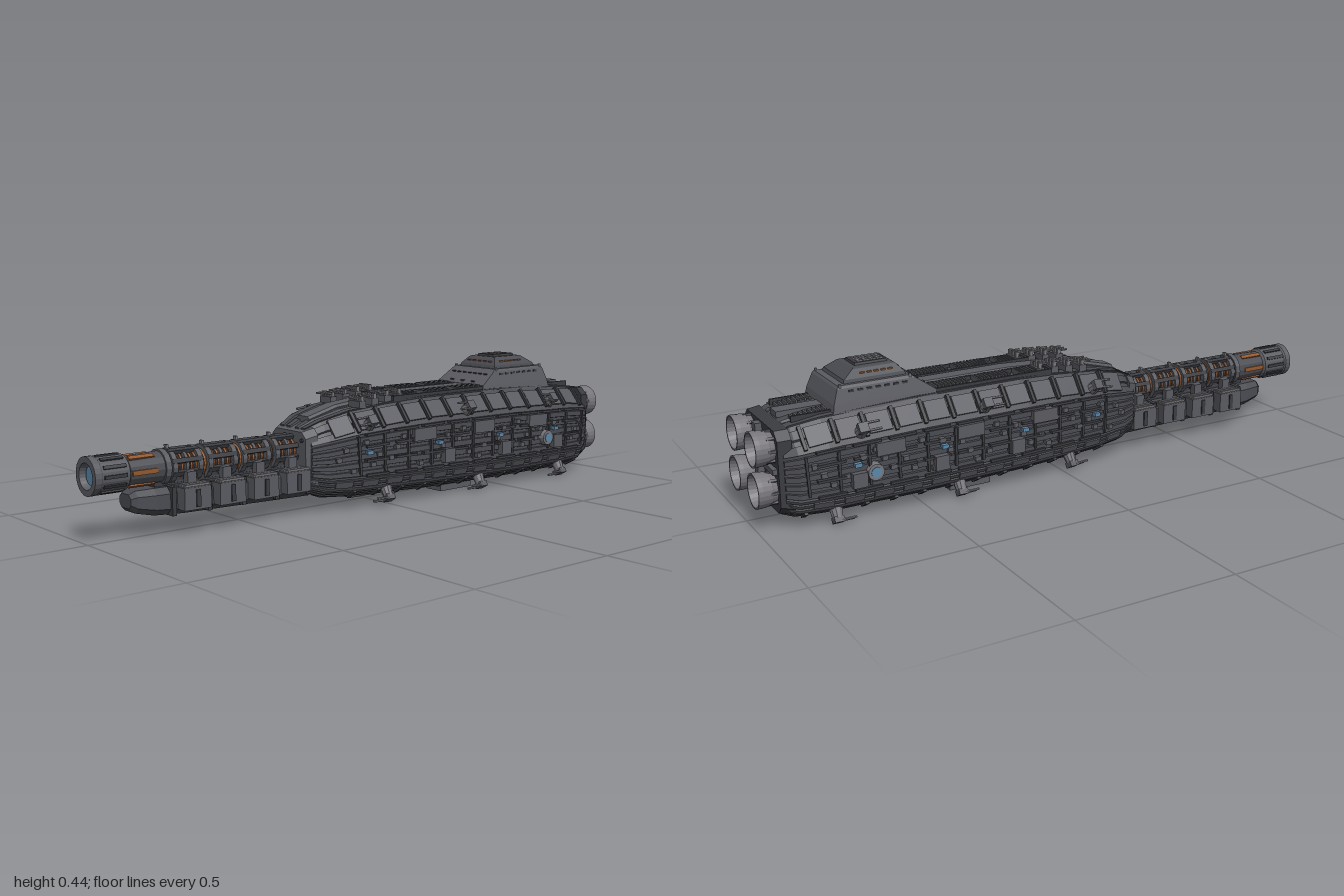
import * as THREE from 'three';
import { mergeGeometries } from 'three/addons/utils/BufferGeometryUtils.js';

const material = (color) => new THREE.MeshStandardMaterial({ color, flatShading: true, roughness: 0.8, side: THREE.DoubleSide });
const DARK = material(0x3b3c41), HULL = material(0x4b4c52), PLATE = material(0x5a5b61),
  STEEL = material(0x77757a), RUST = material(0x94592f), BLUE = material(0x5b87a8);

// Hull stations: z, half width, bottom, top
const STATIONS = [[0.29, 0.1, 0.06, 0.26], [0.24, 0.125, 0.042, 0.282], [0.14, 0.15, 0.034, 0.306], [0, 0.167, 0.03, 0.32],
  [-0.15, 0.178, 0.025, 0.328], [-0.5, 0.184, 0.02, 0.328], [-0.8, 0.182, 0.02, 0.316], [-0.89, 0.172, 0.024, 0.303], [-0.925, 0.15, 0.035, 0.288]];
// Half cross-section, from bottom centre to top centre
const PROFILE = [[0, 0], [0.6, 0], [0.86, 0.09], [1, 0.26], [1, 0.74], [0.64, 1], [0, 1]];
const BANDS = [3, 3, 3, 5, 2, 2];

function station(z) {
  let i = 0;
  while (i < STATIONS.length - 2 && z < STATIONS[i + 1][0]) i++;
  const a = STATIONS[i], b = STATIONS[i + 1], t = (z - a[0]) / (b[0] - a[0]);
  return a.map((v, k) => v + (b[k] - v) * t);
}
// Point on the hull skin at length z and profile position s (0 to 6)
function skin(z, s, raise = 0) {
  const [, w, lo, hi] = station(z), i = Math.min(5, Math.floor(s)), t = s - i;
  const at = (k) => [PROFILE[k][0] * w, lo + PROFILE[k][1] * (hi - lo)];
  const a = at(i), b = at(i + 1), dx = b[0] - a[0], dy = b[1] - a[1], l = Math.hypot(dx, dy);
  return new THREE.Vector3(a[0] + dx * t + dy / l * raise, a[1] + dy * t - dx / l * raise, z);
}

// Closed skin through rings that run counter-clockwise, front to back
function loft(rings) {
  const n = rings[0].length, pos = [], put = (...v) => v.forEach((p) => pos.push(p.x, p.y, p.z));
  for (let i = 0; i < rings.length - 1; i++) for (let j = 0; j < n; j++) {
    const k = (j + 1) % n, [a, b, c, d] = [rings[i][j], rings[i][k], rings[i + 1][j], rings[i + 1][k]];
    put(a, c, b, b, c, d);
  }
  [rings[0], rings[rings.length - 1]].forEach((r, e) => {
    const mid = r.reduce((m, p) => m.add(p), new THREE.Vector3()).divideScalar(n);
    r.forEach((p, j) => (e ? put(mid, r[(j + 1) % n], p) : put(mid, p, r[(j + 1) % n])));
  });
  const g = new THREE.BufferGeometry();
  g.setAttribute('position', new THREE.Float32BufferAttribute(pos, 3));
  g.computeVertexNormals();
  return g;
}
// Chamfered rectangle ring
function chamfer(z, w, lo, hi, c) {
  return [[w - c, lo], [w, lo + c], [w, hi - c], [w - c, hi], [c - w, hi], [-w, hi - c], [-w, lo + c], [c - w, lo]].map(([x, y]) => new THREE.Vector3(x, y, z));
}

export function createModel() {
  const root = new THREE.Group(), parts = new Map();
  const add = (name, mat, g) => {
    if (!parts.has(name)) parts.set(name, { mat, list: [] });
    parts.get(name).list.push(g.index ? g.toNonIndexed() : g);
  };
  const box = (name, mat, x, y, z, w, h, d) => add(name, mat, new THREE.BoxGeometry(w, h, d).translate(x, y, z));
  const pair = (name, mat, x, ...rest) => [-1, 1].forEach((s) => box(name, mat, s * x, ...rest));
  const tube = (name, mat, x, y, z, front, back, len, n = 16) => add(name, mat, new THREE.CylinderGeometry(front, back, len, n).rotateX(Math.PI / 2).translate(x, y, z));
  // Sets a copy of a geometry on both flanks: local x outward, z along the hull
  const onHull = (name, mat, z, s, make) => [-1, 1].forEach((side) => {
    const p = skin(z, s), along = skin(z + 0.01, s).sub(skin(z - 0.01, s)).normalize();
    const across = skin(z, Math.min(5.999, Math.floor(s) + 0.99)).sub(skin(z, Math.floor(s))).normalize();
    const out = across.cross(along).normalize();
    [p, along, out].forEach((v) => { v.x *= side; });
    const m = new THREE.Matrix4().makeBasis(out, along.clone().cross(out), along).setPosition(p);
    add(name, mat, make().applyMatrix4(m));
  });
  const plate = (name, mat, z, s, thick, wide, long) => onHull(name, mat, z, s, () => new THREE.BoxGeometry(thick, wide, long));

  // Hull with raised lengthwise strakes
  add('hull', HULL, loft(STATIONS.map(([z]) => {
    const half = [];
    BANDS.forEach((n, seg) => {
      for (let b = 0; b < n; b++) [[0.04, 0], [0.62, 0], [0.66, -0.007], [0.97, -0.007]].forEach(([t, r]) => half.push(skin(z, seg + (b + t) / n, r)));
    });
    return half.concat(half.slice().reverse().map((p) => new THREE.Vector3(-p.x, p.y, p.z)));
  })));
  // Armour plates, frames and small fittings along the flanks
  for (let i = 0; i < 12; i++) {
    const z = 0.19 - i * 0.092;
    plate('shoulderPlate', PLATE, z, 4.5, 0.012, 0.062, 0.07);
    plate('shoulderFrame', DARK, z - 0.046, 4.5, 0.02, 0.075, 0.01);
    plate('bellyPlate', i % 2 ? DARK : PLATE, z, 0.45, 0.01, 0.045, 0.075);
    plate('bilgeFrame', DARK, z - 0.046, 1.5, 0.012, 0.045, 0.012);
    plate('bilgePlate', PLATE, z, 2.5, 0.01, 0.022, 0.06);
    plate('flankFrame', DARK, z - 0.046, 3.5, 0.012, 0.12, 0.008);
    for (let k = 0; k < 3; k++) plate('flankFitting', k === 1 ? STEEL : PLATE, z + 0.025 * (k - 1), 3.15 + ((i * 3 + k * 5) % 7) * 0.11, 0.014 + 0.004 * k, 0.014, 0.018);
    if (i % 3 === 1) plate('window', BLUE, z + 0.01, 3.55, 0.016, 0.012, 0.022);
  }
  for (const s of [3.02, 3.36, 3.7, 3.98]) for (let i = 0; i < 9; i++) plate('flankRail', DARK, 0.08 - i * 0.11, s, 0.016, 0.008, 0.085);
  for (const z of [-0.1, -0.36, -0.62]) {
    plate('sidePod', PLATE, z, 3.8, 0.026, 0.04, 0.09);
    plate('sidePod', PLATE, z - 0.1, 3.25, 0.036, 0.045, 0.045);
  }
  onHull('roundPort', STEEL, -0.67, 3.35, () => new THREE.CylinderGeometry(0.025, 0.028, 0.03, 16).rotateZ(-Math.PI / 2));
  onHull('portGlass', BLUE, -0.67, 3.35, () => new THREE.CylinderGeometry(0.016, 0.016, 0.034, 16).rotateZ(-Math.PI / 2));
  pair('bellySkid', PLATE, 0.066, 0.012, -0.32, 0.068, 0.024, 0.14);
  box('bellyKeel', DARK, 0, 0.018, -0.35, 0.036, 0.02, 0.85);

  // Twin-barrel turrets on the upper and lower shoulders
  for (const [s, zs] of [[4.3, [0.1, -0.3, -0.7]], [1.75, [0.02, -0.38, -0.78]]]) for (const z of zs) {
    onHull('turretBase', STEEL, z, s, () => new THREE.CylinderGeometry(0.016, 0.02, 0.03, 10).rotateZ(-Math.PI / 2).translate(0.012, 0, 0));
    onHull('turretHead', PLATE, z, s, () => new THREE.BoxGeometry(0.018, 0.03, 0.03).translate(0.032, 0, 0));
    for (const y of [-0.012, 0.012]) onHull('turretBarrel', STEEL, z, s, () => new THREE.CylinderGeometry(0.004, 0.004, 0.045, 6).rotateX(Math.PI / 2).translate(0.035, y, 0.03));
  }

  // Bow collar around the cannon root
  add('bowCollar', PLATE, loft([chamfer(0.305, 0.085, 0.08, 0.25, 0.02), chamfer(0.27, 0.102, 0.065, 0.262, 0.02)]));
  [-1, 1].forEach((s) => [0.1, 0.225].forEach((y) => tube('bowBolt', DARK, s * 0.068, y, 0.307, 0.006, 0.006, 0.008, 8)));

  // Spine, deck vents and deck guns
  const spine = [0.25, 0.14, 0, -0.15, -0.45].map((z) => chamfer(z, 0.032, station(z)[3] - 0.02, station(z)[3] + 0.011, 0.008));
  add('spine', PLATE, loft(spine));
  for (let i = 0; i < 34; i++) {
    if (i % 12 > 9) continue;
    const z = -0.03 - i * 0.012, y = station(z)[3];
    pair('deckVent', i % 2 ? DARK : PLATE, 0.073, y + 0.006, z, 0.05, 0.018, 0.006);
  }
  pair('ventRail', DARK, 0.104, 0.329, -0.24, 0.008, 0.018, 0.42);
  pair('ventRail', DARK, 0.043, 0.332, -0.24, 0.008, 0.014, 0.42);
  for (let i = 0; i < 4; i++) {
    const z = 0.09 - i * 0.052, y = station(z)[3];
    pair('deckGunMount', PLATE, 0.072, y + 0.009, z, 0.055, 0.022, 0.026);
    for (const x of [0.052, 0.072, 0.092]) {
      pair('deckGunPost', STEEL, x, y + 0.023, z, 0.011, 0.024, 0.012);
      [-1, 1].forEach((s) => tube('deckGunBarrel', STEEL, s * x, y + 0.03, z + 0.015, 0.0035, 0.0035, 0.034, 6));
    }
  }
  for (let i = 0; i < 8; i++) pair('aftDeckSlat', PLATE, 0.065, station(-0.77 - i * 0.014)[3] + 0.003, -0.77 - i * 0.014, 0.04, 0.012, 0.006);
  pair('aftDeckRail', DARK, 0.09, 0.315, -0.82, 0.007, 0.018, 0.12);
  box('aftSpine', PLATE, 0, 0.312, -0.82, 0.05, 0.018, 0.16);

  // Command tower in tiers; each row: half width, y, front z, back z
  const tier = (name, mat, rows) => add(name, mat, loft(rows.map(([w, y, f, b]) => [[-w, f], [-w, b], [w, b], [w, f]].map(([x, z]) => new THREE.Vector3(x, y, z)).reverse()).reverse()));
  tier('towerBase', PLATE, [[0.115, 0.315, -0.43, -0.76], [0.11, 0.34, -0.435, -0.755], [0.1, 0.382, -0.495, -0.74], [0.094, 0.39, -0.505, -0.735]]);
  tier('towerUpper', HULL, [[0.083, 0.388, -0.515, -0.715], [0.08, 0.4, -0.52, -0.71], [0.06, 0.423, -0.54, -0.675], [0.052, 0.426, -0.545, -0.67]]);
  tier('towerRoof', DARK, [[0.038, 0.425, -0.555, -0.66], [0.035, 0.433, -0.558, -0.657]]);
  for (let i = 0; i < 4; i++) for (const j of [0, 1, 2, 3]) box('roofTile', STEEL, -0.024 + i * 0.016, 0.432, -0.575 - j * 0.021, 0.011, 0.004, 0.015);
  for (let i = 0; i < 7; i++) {
    box('towerSlot', DARK, (i - 3) * 0.025, 0.372, -0.482, 0.015, 0.005, 0.006);
    if (i % 2) box('towerSlot', DARK, (i - 3) * 0.025, 0.348, -0.447, 0.015, 0.005, 0.006);
    pair('towerSlot', DARK, 0.101, 0.373, -0.53 - i * 0.028, 0.008, 0.006, 0.016);
    if (i > 0 && i < 6) {
      box('towerLight', RUST, (i - 3) * 0.025, 0.411, -0.53, 0.015, 0.004, 0.006);
      pair('towerLight', RUST, 0.07, 0.412, -0.54 - i * 0.022, 0.006, 0.004, 0.014);
    }
  }
  [-0.51, -0.73].forEach((z) => pair('towerMast', STEEL, 0.095, 0.386, z, 0.007, 0.018, 0.007));

  // Cannon: core, rust coils, collars and muzzle
  const Y = 0.19;
  tube('cannonCore', DARK, 0, Y, 0.56, 0.034, 0.034, 0.6);
  for (let i = 0; i < 29; i++) add('cannonCoil', RUST, new THREE.TorusGeometry(0.038, 0.0045, 5, 16).translate(0, Y, 0.31 + i * 0.0155));
  for (let i = 0; i < 4; i++) {
    const z = 0.34 + i * 0.12;
    for (const d of [-0.043, 0.043]) tube('cannonCollar', PLATE, 0, Y, z + d, 0.052, 0.052, 0.016);
    tube('cannonCollar', STEEL, 0, Y, z, 0.047, 0.047, 0.01);
    for (let k = 0; k < 8; k++) add('collarRib', DARK, new THREE.BoxGeometry(0.014, 0.012, 0.1).translate(0, 0.046, 0).rotateZ(k * Math.PI / 4 + Math.PI / 8).translate(0, Y, z));
    box('collarFin', STEEL, 0, Y + 0.053, z + 0.043, 0.012, 0.018, 0.008);
    // Clamp blocks on the cradle below the cannon
    pair('cradleBlock', PLATE, 0.074, 0.105, z, 0.046, 0.065, 0.09);
    pair('cradleStrap', DARK, 0.08, 0.105, z, 0.042, 0.05, 0.014);
    for (const x of [0.064, 0.078, 0.091]) [-1, 1].forEach((s) => tube('cradlePipe', STEEL, s * x, 0.141, z, 0.006, 0.006, 0.08, 8));
    pair('clampArm', PLATE, 0.056, 0.155, z, 0.022, 0.045, 0.03);
  }
  tube('cannonNeck', HULL, 0, Y, 0.83, 0.044, 0.048, 0.15);
  for (let k = 0; k < 6; k++) add('neckStrip', RUST, new THREE.BoxGeometry(0.014, 0.006, 0.08).translate(0, 0.046, 0).rotateZ((k + 0.5) * Math.PI / 3).translate(0, Y, 0.84));
  tube('neckRing', PLATE, 0, Y, 0.765, 0.053, 0.053, 0.018);
  const lathe = (pts, n) => new THREE.LatheGeometry(pts.map(([r, z]) => new THREE.Vector2(r, z)), n).rotateX(Math.PI / 2);
  add('muzzle', PLATE, lathe([[0.04, 0.88], [0.052, 0.89], [0.052, 0.975], [0.056, 0.98], [0.056, 1], [0.038, 1], [0.034, 0.975], [0, 0.975]], 24).translate(0, Y, 0));
  for (let k = 0; k < 12; k++) add('muzzleRib', DARK, new THREE.BoxGeometry(0.01, 0.006, 0.07).translate(0, 0.053, 0).rotateZ(k * Math.PI / 6).translate(0, Y, 0.935));
  tube('muzzleLens', BLUE, 0, Y, 0.979, 0.027, 0.027, 0.012, 24);

  // Cradle keel with a blunt prow
  add('cradleKeel', HULL, loft([chamfer(0.88, 0.032, 0.085, 0.126, 0.012), chamfer(0.865, 0.045, 0.072, 0.136, 0.016),
    chamfer(0.81, 0.055, 0.06, 0.138, 0.018), chamfer(0.72, 0.06, 0.055, 0.138, 0.018), chamfer(0.27, 0.068, 0.048, 0.138, 0.018)]));
  for (let i = 0; i < 5; i++) box('keelBand', DARK, 0, 0.098, 0.28 + i * 0.12, 0.134, 0.084, 0.014);
  box('cannonSaddle', DARK, 0, 0.145, 0.54, 0.05, 0.03, 0.52);

  // Stern plate, dividers and four engine bells
  add('sternPlate', DARK, loft([chamfer(-0.9, 0.148, 0.04, 0.3, 0.025), chamfer(-0.94, 0.14, 0.05, 0.297, 0.025)]));
  box('sternDivider', PLATE, 0, 0.178, -0.945, 0.03, 0.23, 0.03);
  box('sternDivider', PLATE, 0, 0.18, -0.943, 0.26, 0.016, 0.022);
  for (const x of [-0.083, 0.083]) for (const y of [0.118, 0.243]) {
    add('engineBell', STEEL, lathe([[0.034, -0.93], [0.044, -0.94], [0.048, -0.955], [0.05, -0.957], [0.053, -0.985], [0.053, -1], [0.048, -1], [0.042, -0.965], [0.022, -0.945]], 24).translate(x, y, 0));
    add('engineThroat', DARK, lathe([[0.024, -0.944], [0.014, -0.95], [0, -0.975]], 16).translate(x, y, 0));
    for (let k = 0; k < 8; k++) add('engineRib', PLATE, new THREE.BoxGeometry(0.008, 0.008, 0.03).translate(0, 0.047, 0).rotateZ(k * Math.PI / 4).translate(x, y, -0.95));
  }

  // One mesh per part name
  for (const [name, { mat, list }] of parts) {
    list.forEach((g) => g.deleteAttribute('uv'));
    const mesh = new THREE.Mesh(mergeGeometries(list), mat);
    mesh.name = name;
    root.add(mesh);
  }
  return root;
}
